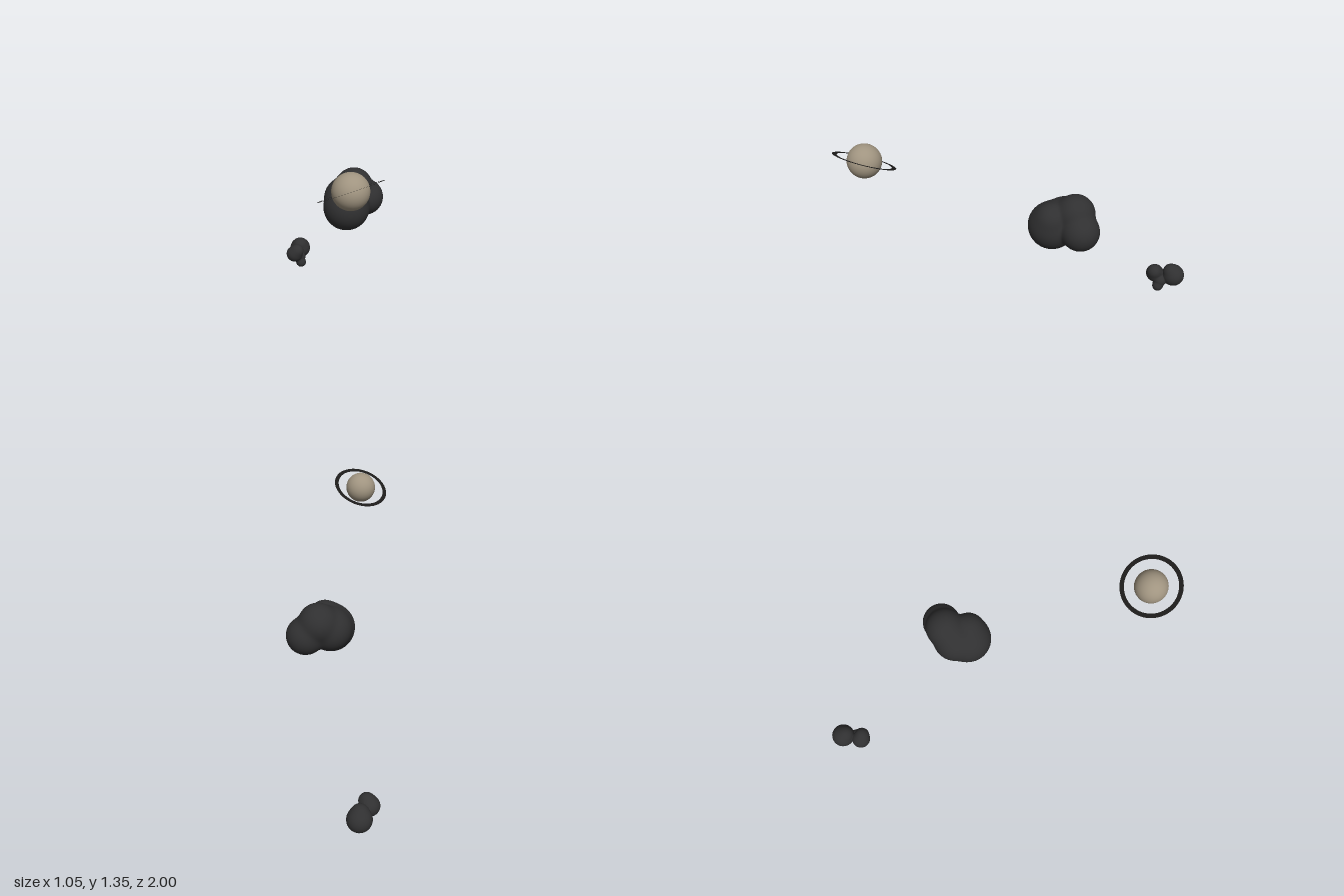
import * as THREE from 'three';
import { mergeVertices } from 'three/addons/utils/BufferGeometryUtils.js';

const rockGrey = new THREE.MeshStandardMaterial({ color: 0x303031 });
rockGrey.name = 'rockGrey';
const planetTan = new THREE.MeshStandardMaterial({ color: 0xa09480 });
planetTan.name = 'planetTan';
const ringBlack = new THREE.MeshStandardMaterial({ color: 0x1c1b1a, side: THREE.DoubleSide });
ringBlack.name = 'ringBlack';

// Lumpy rock: a sphere pushed out to the blended surface of overlapping lobes [x, y, z, radius]
function makeRock(name, center, lobes, blend) {
  const geo = new THREE.IcosahedronGeometry(1, 11);
  geo.deleteAttribute('normal');
  geo.deleteAttribute('uv');
  const rock = mergeVertices(geo, 1e-4);
  const pos = rock.attributes.position;
  const origin = new THREE.Vector3(...center);
  const dir = new THREE.Vector3();
  const lobe = new THREE.Vector3();
  for (let i = 0; i < pos.count; i++) {
    dir.fromBufferAttribute(pos, i).normalize();
    let sum = 0;
    for (const [x, y, z, r] of lobes) {
      lobe.set(x, y, z).sub(origin);
      const along = dir.dot(lobe);
      const disc = along * along - lobe.lengthSq() + r * r;
      const exit = disc > 0 ? along + Math.sqrt(disc) : 0;
      sum += Math.exp(exit / blend);
    }
    dir.multiplyScalar(blend * Math.log(sum));
    pos.setXYZ(i, dir.x, dir.y, dir.z);
  }
  rock.computeVertexNormals();
  const mesh = new THREE.Mesh(rock, rockGrey);
  mesh.name = name;
  mesh.position.copy(origin);
  return mesh;
}

// Planet with a thin tilted ring
function makePlanet() {
  const group = new THREE.Group();
  group.name = 'ringedPlanet';
  const ball = new THREE.Mesh(new THREE.SphereGeometry(0.095, 40, 28), planetTan);
  ball.name = 'planet';
  const ring = new THREE.Mesh(new THREE.RingGeometry(0.151, 0.176, 72), ringBlack);
  ring.name = 'planetRing';
  ring.quaternion.setFromUnitVectors(
    new THREE.Vector3(0, 0, 1),
    new THREE.Vector3(-0.11, 1, -0.49).normalize()
  );
  group.add(ball, ring);
  group.position.set(-0.352, 1.263, 0.84);
  return group;
}

export function createModel() {
  const model = new THREE.Group();
  model.name = 'planetAndAsteroids';
  model.add(makePlanet());

  model.add(makeRock('largeAsteroid', [0.3, 0.81, -0.06], [
    [0.225, 0.775, -0.02, 0.142], // lower front lobe
    [0.335, 0.87, -0.1, 0.115],   // top lobe
    [0.405, 0.79, -0.075, 0.113], // side lobe
    [0.26, 0.81, -0.09, 0.128],   // back lobe
    [0.25, 0.84, 0.01, 0.095],    // upper front lobe
  ], 0.01));

  model.add(makeRock('smallAsteroid', [0.4, 0.11, -0.88], [
    [0.35, 0.112, -0.85, 0.058],   // front lobe
    [0.36, 0.138, -0.832, 0.047],  // upper front lobe
    [0.445, 0.11, -0.925, 0.072],  // back lobe
    [0.435, 0.14, -0.91, 0.052],   // top lobe
    [0.395, 0.075, -0.855, 0.043], // neck of the nub
    [0.396, 0.04, -0.835, 0.036],  // bottom nub
  ], 0.005));

  return model;
}
